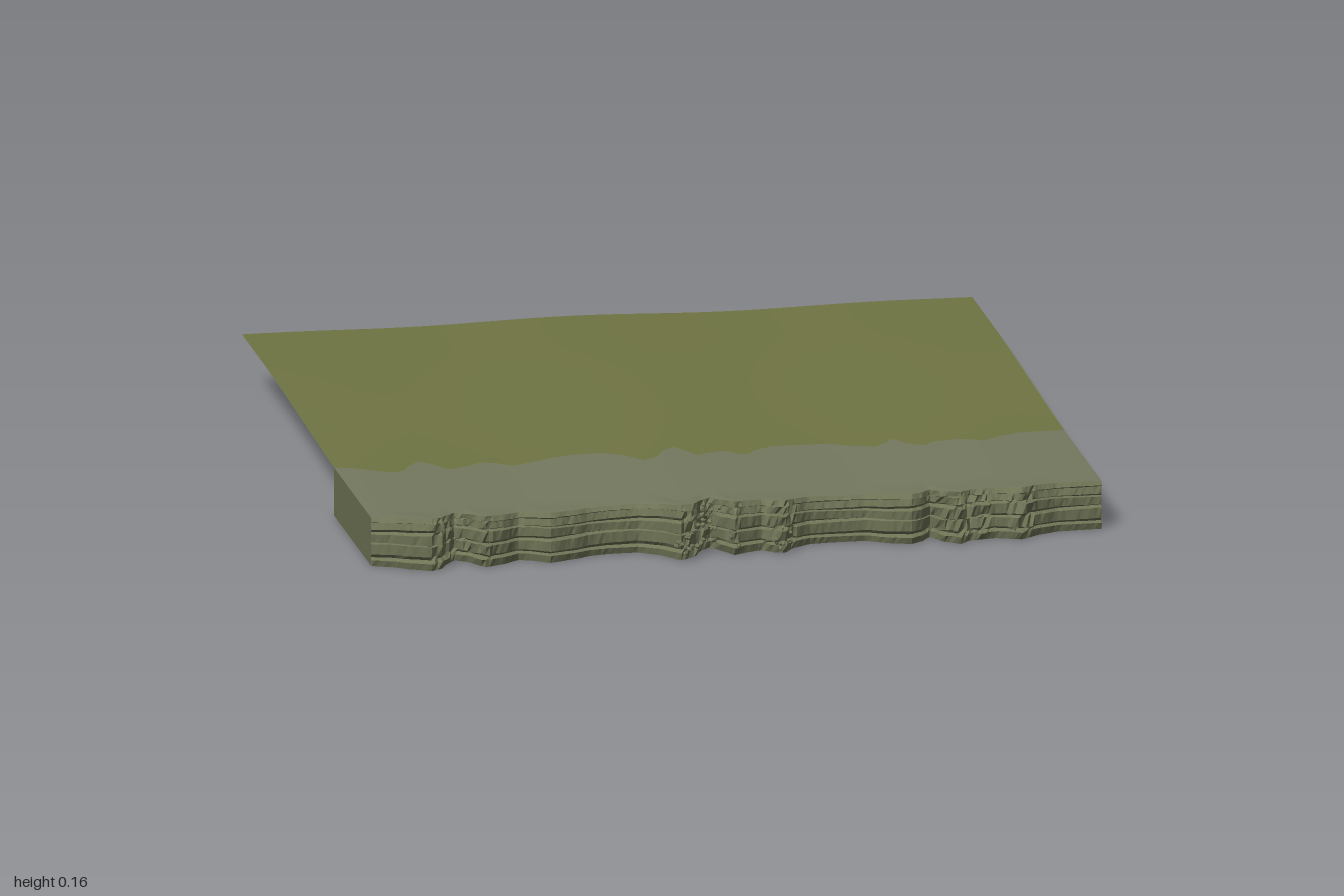
import * as THREE from 'three';

// Cliff rim as [x, z] points, left to right
const RIM = [
  [-1, .835], [-.95, .855], [-.9, .89], [-.85, .915], [-.82, .9], [-.8, .86], [-.77, .82], [-.74, .84],
  [-.7, .905], [-.65, .885], [-.6, .85], [-.57, .86], [-.52, .895], [-.45, .87], [-.4, .845], [-.35, .835],
  [-.27, .835], [-.22, .87], [-.17, .935], [-.13, .91], [-.1, .85], [-.07, .82], [-.04, .87], [-.02, .91],
  [.02, .89], [.06, .875], [.1, .91], [.12, .91], [.15, .87], [.2, .84], [.25, .835], [.35, .835],
  [.42, .875], [.47, .89], [.5, .87], [.53, .83], [.56, .885], [.6, .915], [.63, .885], [.7, .875],
  [.77, .9], [.83, .86], [.88, .84], [1, .835],
];
const DEPTH = 0.525; // cliff slab, front to back

// Strata profile: [height fraction, outward offset]
const STRATA = [
  [0, 0], [.14, .006], [.18, -.008], [.24, .002], [.44, .004], [.47, -.005], [.5, .003],
  [.68, .005], [.71, -.006], [.75, .002], [.88, -.003], [.91, .008], [1, 0],
];
const ROUGH = [-.8, -.72, -.13, -.05, .11, .56, .64, .77]; // crumbling spots

let seed = 7;
function rand() {
  seed = (seed * 16807) % 2147483647;
  return seed / 2147483647;
}

const smooth = THREE.MathUtils.smoothstep;

function rimZ(x) {
  let i = 0;
  while (i < RIM.length - 2 && x > RIM[i + 1][0]) i++;
  const [x0, z0] = RIM[i], [x1, z1] = RIM[i + 1];
  return THREE.MathUtils.lerp(z0, z1, smooth(x, x0, x1) * .4 + .6 * (x - x0) / (x1 - x0));
}

// Ground height: gentle rise to the back, with a slight lip on the jutting rim
function ground(x, z) {
  const rise = .022 * (1 - smooth(z, -.7, .4));
  const wave = .005 * Math.cos((x + .12) * 6.5) * (1 - x * x);
  const lip = .14 * Math.max(0, rimZ(x) - .835) * smooth(z, rimZ(x) - .12, rimZ(x));
  return .134 + rise + wave + lip;
}

// Grid surface from point(u, v); it faces along du x dv
function surface(name, material, nu, nv, point, flat = false) {
  const position = [], index = [];
  for (let j = 0; j <= nv; j++)
    for (let i = 0; i <= nu; i++) position.push(...point(i / nu, j / nv, j));
  for (let j = 0; j < nv; j++)
    for (let i = 0; i < nu; i++) {
      const a = j * (nu + 1) + i, b = a + 1, c = a + nu + 1, d = c + 1;
      index.push(a, b, d, a, d, c);
    }
  let geometry = new THREE.BufferGeometry();
  geometry.setAttribute('position', new THREE.Float32BufferAttribute(position, 3));
  geometry.setIndex(index);
  if (flat) geometry = geometry.toNonIndexed();
  geometry.computeVertexNormals();
  const mesh = new THREE.Mesh(geometry, material);
  mesh.name = name;
  return mesh;
}

function makeMaterial(name, color, side = THREE.FrontSide) {
  const material = new THREE.MeshStandardMaterial({ color, side });
  material.name = name;
  return material;
}

export function createModel() {
  const model = new THREE.Group();
  model.name = 'cliffEdge';
  const grass = makeMaterial('grass green', 0x6f7443, THREE.DoubleSide);
  const soil = makeMaterial('grey green soil', 0x75795f);
  const rock = makeMaterial('olive rock', 0x6f7456);
  const stone = makeMaterial('grey stone', 0x686868);
  const N = 200;
  const across = (u) => u * 2 - 1;

  // Grass field, cut along the same curve as the rim
  model.add(surface('grassField', grass, N, 24, (u, v) => {
    const x = across(u), z = THREE.MathUtils.lerp(rimZ(x) - DEPTH, -.99, v);
    return [x, ground(x, z), z];
  }));

  // Bare strip on top of the slab
  model.add(surface('cliffTop', soil, N, 16, (u, v) => {
    const x = across(u), z = rimZ(x) - DEPTH * v;
    return [x, ground(x, z), z];
  }));

  // Layered front face, roughened at the crumbling spots
  model.add(surface('cliffFace', rock, N, STRATA.length - 1, (u, v, row) => {
    const x = across(u), z = rimZ(x), [h, out] = STRATA[row];
    const edge = row === 0 || row === STRATA.length - 1;
    const near = Math.min(...ROUGH.map((r) => Math.abs(x - r)));
    const jitter = edge ? 0 : (rand() - .5) * (near < .04 ? .024 : .003);
    const bend = edge ? 0 : .03 * Math.sin(x * 9 + row);
    return [x, ground(x, z) * (h + bend * h * (1 - h) * 3), z + out + jitter];
  }, true));

  // Underside and back wall
  model.add(surface('cliffUnderside', stone, N, 1, (u, v) => {
    const x = across(u);
    return [x, 0, rimZ(x) - DEPTH * (1 - v)];
  }));
  model.add(surface('cliffBack', stone, N, 1, (u, v) => {
    const x = -across(u), z = rimZ(x) - DEPTH;
    return [x, ground(x, z) * v, z];
  }));

  // End walls
  for (const side of [-1, 1]) {
    model.add(surface(side > 0 ? 'leftEnd' : 'rightEnd', rock, 8, 1, (u, v) => {
      const z = rimZ(side) - DEPTH * (side > 0 ? u : 1 - u);
      return [side, ground(side, z) * v, z];
    }));
  }

  // Loose rubble: [x, z, low y, high y, count]
  const rubble = new THREE.Group();
  rubble.name = 'rubble';
  const piles = [[-.165, .95, .025, .05, 9], [-.13, .925, .02, .12, 8], [-.07, .85, .03, .13, 10],
    [-.015, .925, .02, .06, 4], [.11, .935, .02, .06, 10]];
  const chip = new THREE.DodecahedronGeometry(1, 0);
  for (const [x, z, low, high, count] of piles)
    for (let i = 0; i < count; i++) {
      const mesh = new THREE.Mesh(chip, rock);
      mesh.name = 'rubbleChip';
      mesh.position.set(x + (rand() - .5) * .05, low + (high - low) * rand(), z + (rand() - .5) * .045);
      mesh.scale.set(.006 + rand() * .005, .004 + rand() * .004, .005 + rand() * .004);
      mesh.rotation.set(rand() * 3, rand() * 3, rand() * 3);
      rubble.add(mesh);
    }
  model.add(rubble);
  return model;
}
